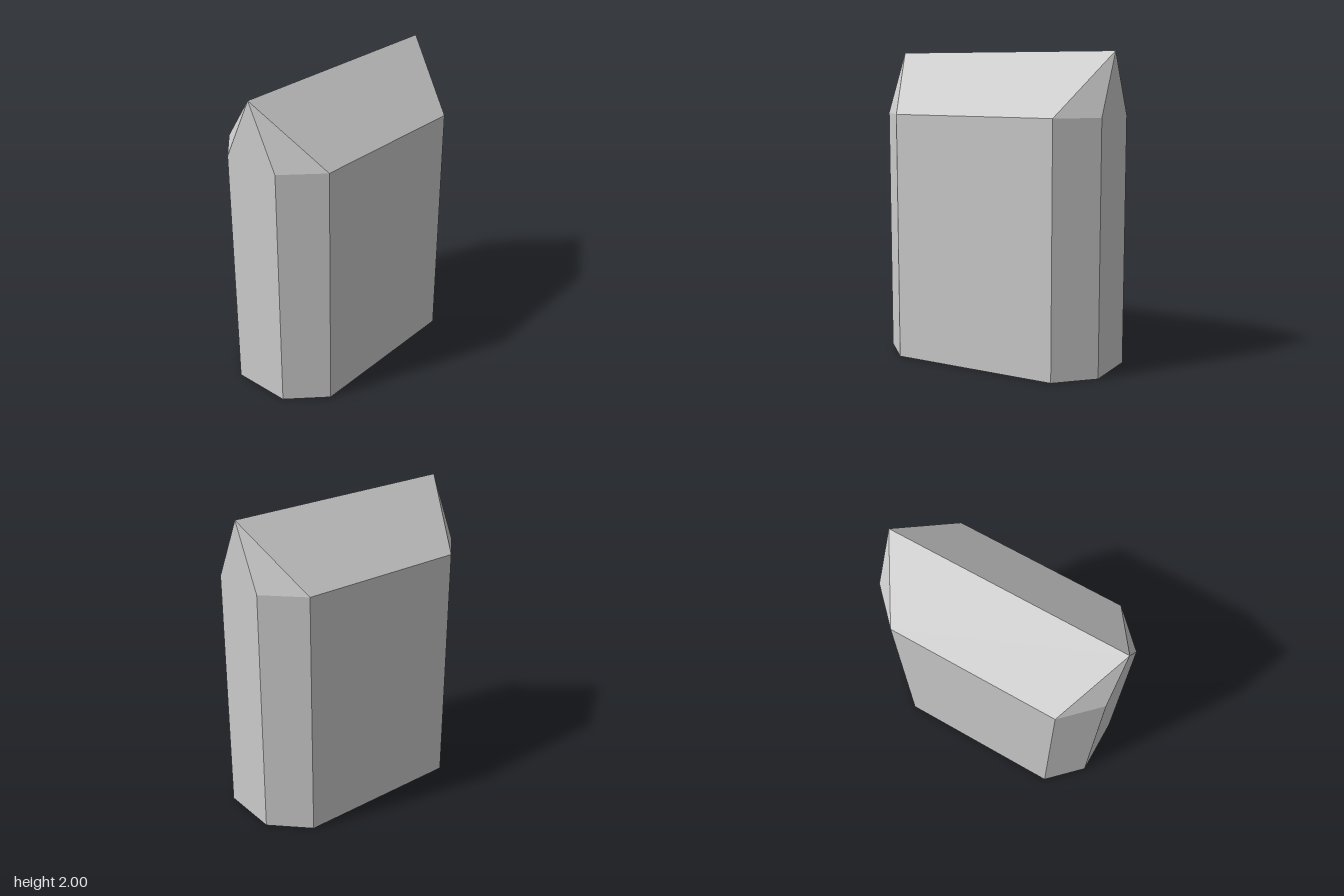
import * as THREE from 'three';
import { ConvexGeometry } from 'three/addons/geometries/ConvexGeometry.js';

const HALF_W = 0.777, HALF_D = 0.41; // overall half width and depth
const FLAT_X = 0.56, FLAT_Z = 0.193; // where the chamfered corners begin
const EAVES = 1.603, RIDGE = 2;

export function createModel() {
  const group = new THREE.Group();
  const points = [];

  for (const sx of [-1, 1]) {
    // Chamfered-corner prism, base and eaves
    for (const sz of [-1, 1]) {
      for (const y of [0, EAVES]) {
        points.push(new THREE.Vector3(sx * FLAT_X, y, sz * HALF_D));
        points.push(new THREE.Vector3(sx * HALF_W, y, sz * FLAT_Z));
      }
    }
    // Ridge end, flush with the side face
    points.push(new THREE.Vector3(sx * HALF_W, RIDGE, 0));
  }

  const material = new THREE.MeshStandardMaterial({ color: 0xcccccc, flatShading: true });
  const block = new THREE.Mesh(new ConvexGeometry(points), material);
  block.name = 'ridgedBlock';
  group.add(block);
  return group;
}
